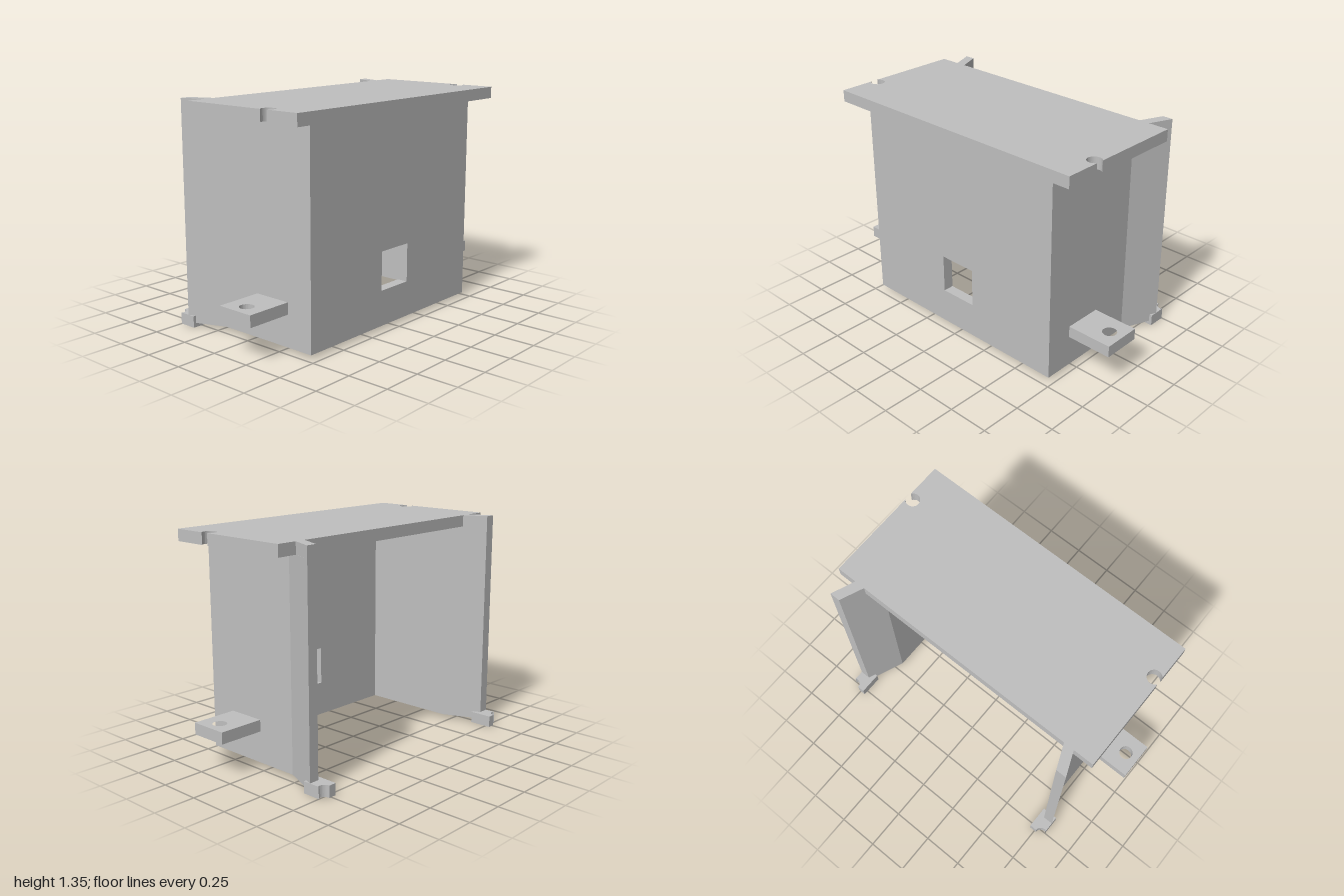
import * as THREE from 'three';

const grey = new THREE.MeshStandardMaterial({ color: 0xbfbfbf });
grey.name = 'plain grey';

// Points along an arc, angles in radians
function arc(cx, cz, r, a0, a1, n = 20) {
  return Array.from({ length: n + 1 }, (_, i) => {
    const a = a0 + ((a1 - a0) * i) / n;
    return [cx + r * Math.cos(a), cz + r * Math.sin(a)];
  });
}

const toVectors = (points, s = 1) => points.map(([x, z]) => new THREE.Vector2(x, z * s));

// Upright prism from an (x, z) outline; s = -1 mirrors it to the back
function prism(name, outline, y0, y1, s = 1, hole = null) {
  const shape = new THREE.Shape(toVectors(outline, s));
  if (hole) shape.holes.push(new THREE.Path(toVectors(hole, s)));
  const geometry = new THREE.ExtrudeGeometry(shape, { depth: y1 - y0, bevelEnabled: false });
  geometry.rotateX(Math.PI / 2).translate(0, y1, 0);
  const mesh = new THREE.Mesh(geometry, grey);
  mesh.name = name;
  return mesh;
}

export function createModel() {
  const group = new THREE.Group();
  group.name = 'bracket';
  const bottom = 0.025, under = 1.275, top = 1.345;

  // Top plate with a round keyhole notch in both short edges
  const half = Math.asin(0.035 / 0.042);
  const notch = arc(0.29, 0.845, 0.042, half, half - 2 * Math.PI + (Math.PI - 2 * half));
  const frontEdge = [[0.525, 0.88], ...notch, [-0.295, 0.88]];
  const backEdge = frontEdge.map(([x, z]) => [x, -z]).reverse();
  group.add(prism('topPlate', [...frontEdge, ...backEdge], under, top));

  // Main wall with a square window
  const wall = new THREE.Shape(toVectors([[-0.72, bottom], [0.72, bottom], [0.72, under], [-0.72, under]]));
  wall.holes.push(new THREE.Path(toVectors([[-0.12, 0.24], [-0.12, 0.475], [0.12, 0.475], [0.12, 0.24]])));
  const wallGeometry = new THREE.ExtrudeGeometry(wall, { depth: 0.065, bevelEnabled: false });
  wallGeometry.rotateY(Math.PI / 2).translate(0.395, 0, 0);
  const mainWall = new THREE.Mesh(wallGeometry, grey);
  mainWall.name = 'mainWall';
  group.add(mainWall);

  for (const [s, side] of [[1, 'front'], [-1, 'back']]) {
    // Side wall, flaring outward at its free end
    group.add(prism(side + 'SideWall', [
      [0.395, 0.72], [-0.205, 0.72], [-0.435, 0.813],
      [-0.435, 0.75], [-0.205, 0.655], [0.395, 0.655],
    ], bottom, under, s));

    // Upper end of the flare, level with the plate
    group.add(prism(side + 'FlareTop', [
      [-0.295, 0.756], [-0.435, 0.813], [-0.435, 0.75], [-0.295, 0.692],
    ], under, top, s));

    // Mounting tab with a screw hole
    group.add(prism(side + 'MountingTab',
      [[0.055, 0.7], [0.29, 0.7], [0.29, 1], [0.055, 1]],
      0.215, 0.285, s, arc(0.175, 0.915, 0.042, 0, 2 * Math.PI, 28).slice(0, -1)));

    // Foot with a rounded corner notch
    group.add(prism(side + 'Foot', [
      [-0.39, 0.715], [-0.39, 0.813], [-0.5, 0.813],
      ...arc(-0.53, 0.8, 0.038, 0.2, -Math.PI / 2, 10), [-0.53, 0.715],
    ], 0, 0.07, s));
  }
  return group;
}
